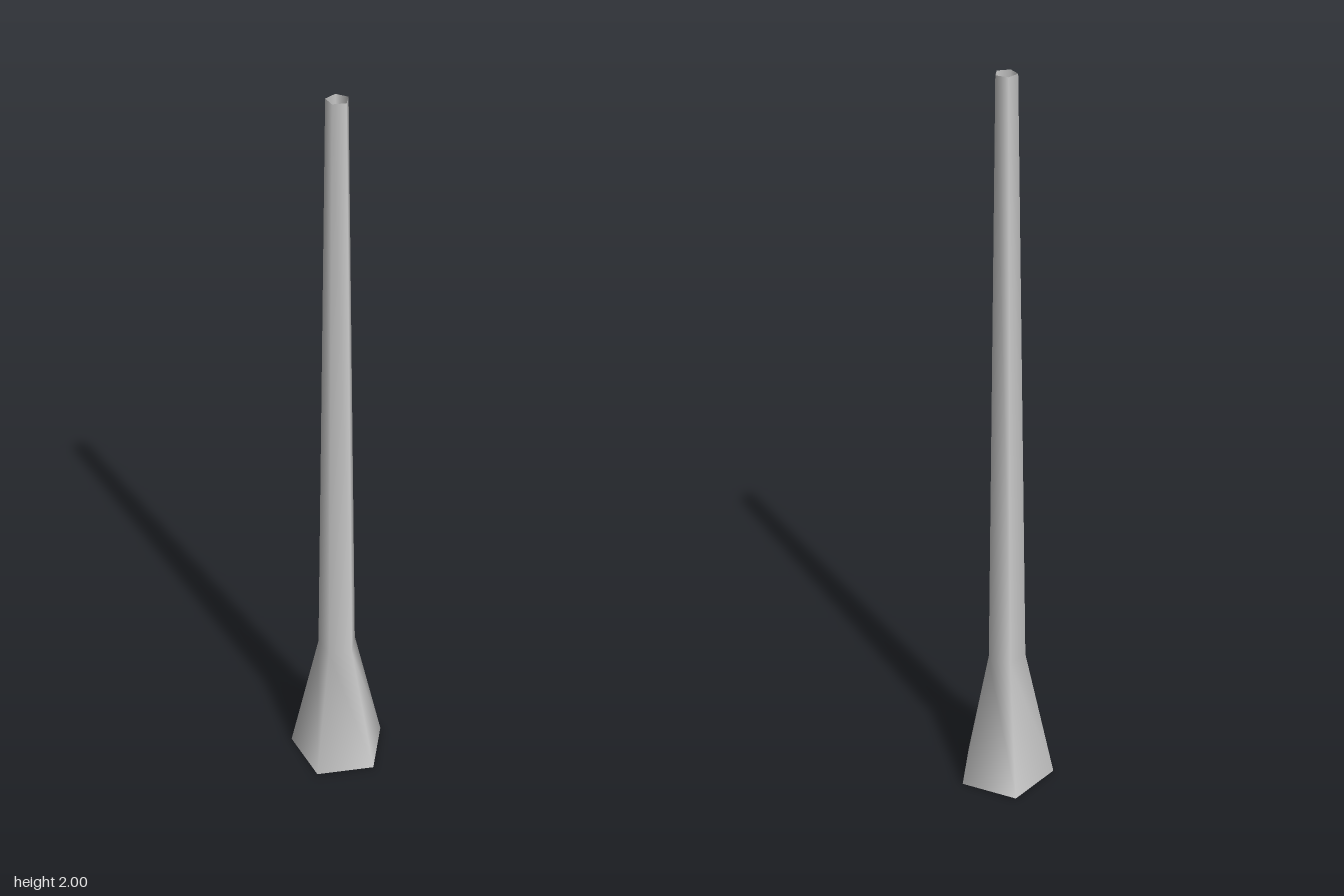
import * as THREE from 'three';

export function createModel() {
  const group = new THREE.Group();
  const material = new THREE.MeshStandardMaterial({ color: 0xcccccc, side: THREE.DoubleSide });

  // Five-sided open tube: flared foot, then a long taper (radius, height)
  const profile = [[0.1346, 0], [0.0527, 0.385], [0.0281, 2]];
  const geometry = new THREE.LatheGeometry(profile.map(([r, y]) => new THREE.Vector2(r, y)), 5);

  // Shift each ring so the pentagons sit centred in depth
  const pos = geometry.attributes.position;
  for (let i = 0; i < pos.count; i++) {
    const r = Math.hypot(pos.getX(i), pos.getZ(i));
    pos.setZ(i, pos.getZ(i) - 0.0023 - 0.0788 * r);
  }

  const pole = new THREE.Mesh(geometry, material);
  pole.name = 'taperedPole';
  group.add(pole);
  return group;
}
